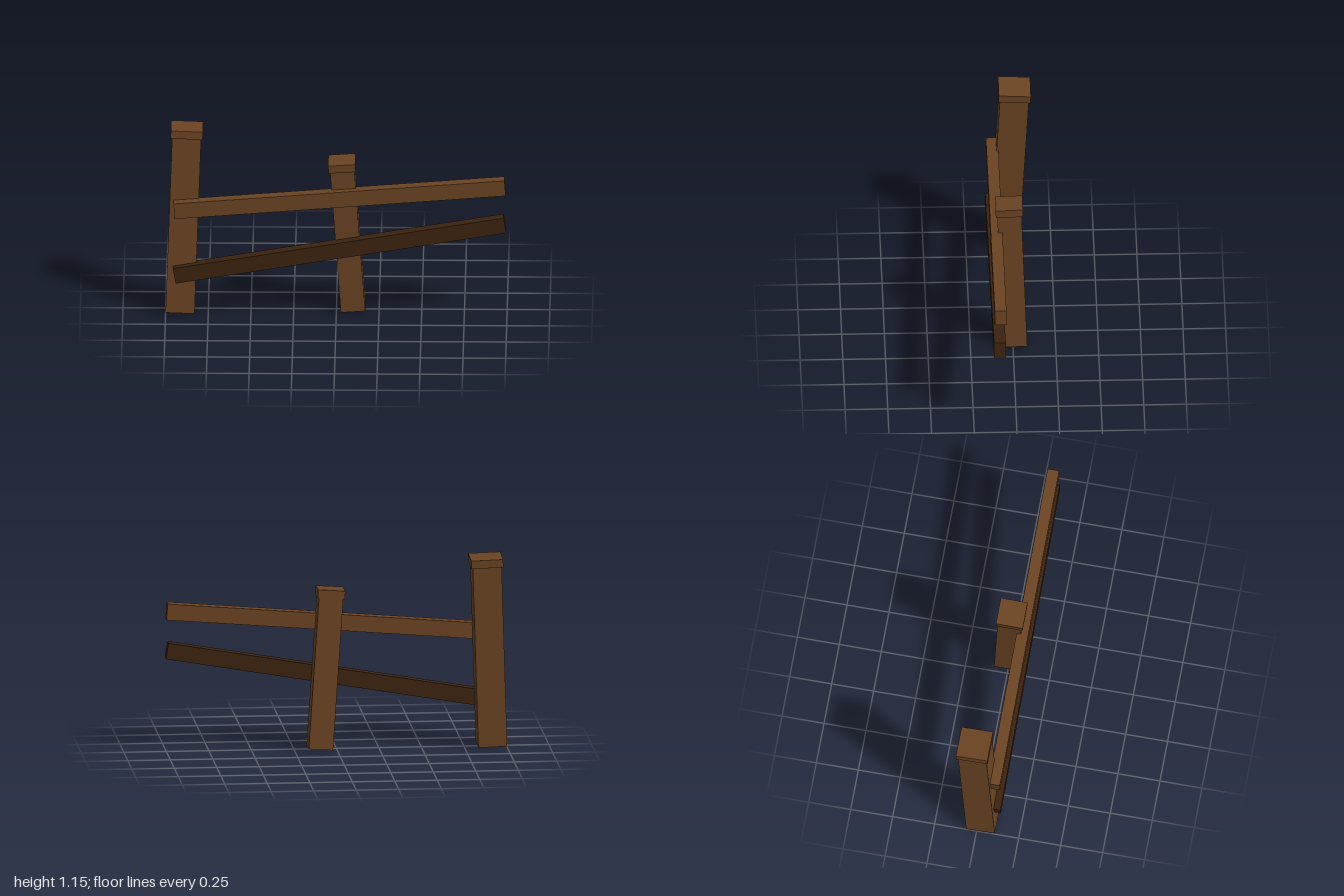
import * as THREE from 'three';

export function createModel() {
  const model = new THREE.Group();
  const brownWood = new THREE.MeshStandardMaterial({ color: 0x6b4423 });
  brownWood.name = 'brownWood';
  const darkWood = new THREE.MeshStandardMaterial({ color: 0x3d2310 });
  darkWood.name = 'darkWood';

  const box = (name, material, w, h, d, x, y, z) => {
    const mesh = new THREE.Mesh(new THREE.BoxGeometry(w, h, d), material);
    mesh.name = name;
    mesh.position.set(x, y, z);
    return mesh;
  };

  // Leaning post with a wider cap, pivoting at the middle of its foot
  const addPost = (name, x, z, width, height, capWidth, leanX, leanZ) => {
    const post = new THREE.Group();
    post.name = name;
    post.add(box('postShaft', brownWood, width, height, width, 0, height / 2, 0));
    post.add(box('postCap', brownWood, capWidth, 0.048, capWidth, 0, height + 0.024, 0));
    post.position.set(x, 0.008, z);
    post.rotation.set(leanX, 0, leanZ);
    model.add(post);
  };
  addPost('tallPost', -0.915, 0.023, 0.17, 1.084, 0.188, -0.052, -0.035);
  addPost('shortPost', 0.098, -0.012, 0.143, 0.9, 0.16, 0.035, 0.07);

  // Sloping rails across the front of the posts
  const addRail = (name, material, length, height, y, z, slope) => {
    const rail = box(name, material, length, height, 0.069, 0.02, y, z);
    rail.rotation.z = slope;
    model.add(rail);
  };
  addRail('upperRail', brownWood, 1.945, 0.096, 0.743, 0.095, 0.08);
  addRail('lowerRail', darkWood, 1.965, 0.096, 0.422, 0.099, 0.168);

  return model;
}
